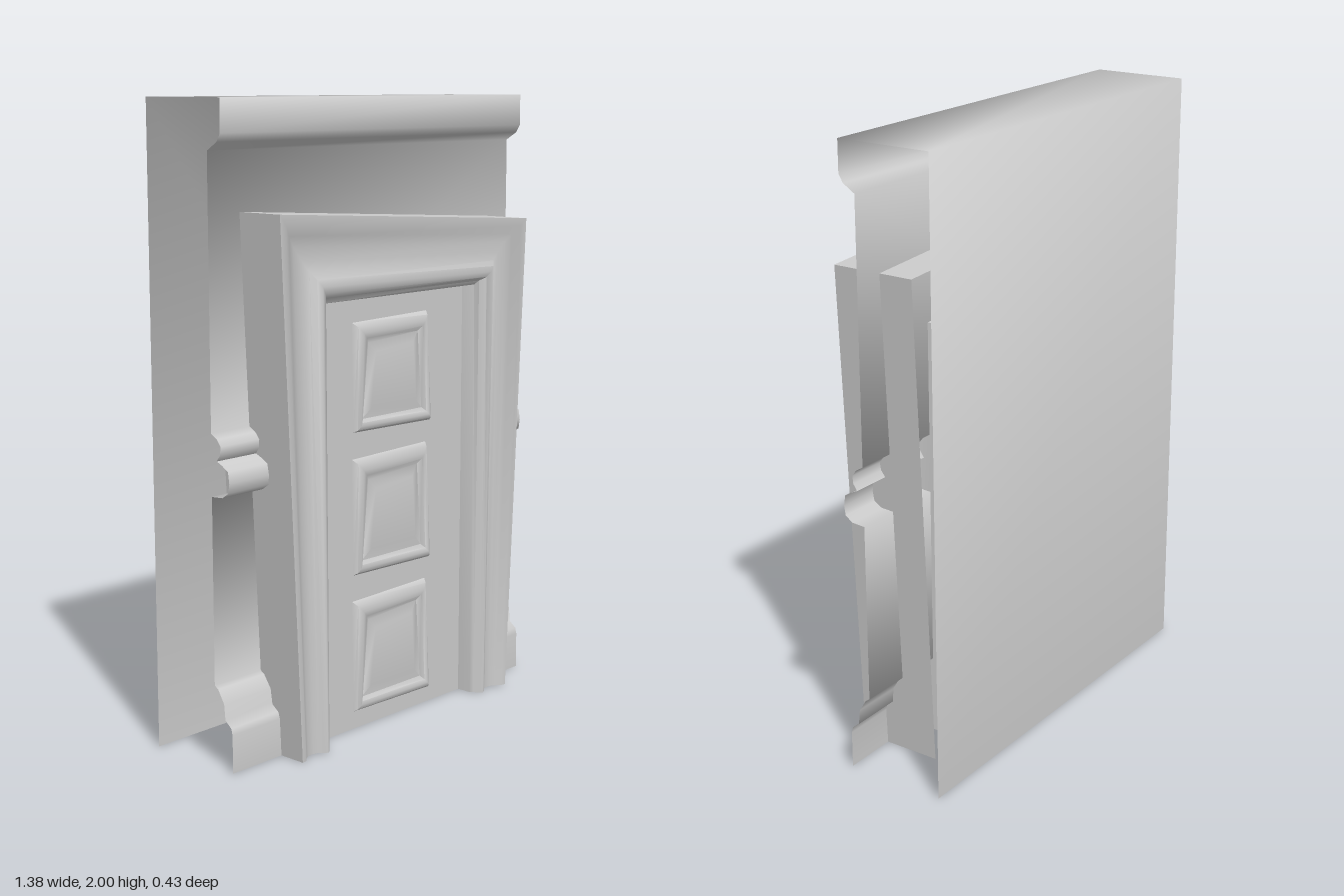
import * as THREE from 'three';
import { toCreasedNormals } from 'three/addons/utils/BufferGeometryUtils.js';

const material = new THREE.MeshStandardMaterial({ color: 0xcccccc, side: THREE.DoubleSide });

// Skin a grid of rows of [x, y, z] points; creases sharper than the angle stay hard.
function sheet(name, rows, crease) {
  const n = rows[0].length;
  const index = [];
  for (let i = 0; i < rows.length - 1; i++) {
    for (let j = 0; j < n - 1; j++) {
      const a = i * n + j, b = a + n;
      index.push(a, a + 1, b, a + 1, b + 1, b);
    }
  }
  const geo = new THREE.BufferGeometry();
  geo.setAttribute('position', new THREE.Float32BufferAttribute(rows.flat(2), 3));
  geo.setIndex(index);
  const mesh = new THREE.Mesh(toCreasedNormals(geo, crease), material);
  mesh.name = name;
  return mesh;
}

const mix = (a, b, t) => a + (b - a) * t;

// Wall section [z, y]: back, top, cornice, chair rail and baseboard, open at the ends
function createWall() {
  const section = [
    [-0.215, 0], [-0.215, 2], [0.1, 2], [0.1, 1.9], [0.085, 1.875], [0.045, 1.85],
    [0.045, 1.03], [0.07, 1.015], [0.085, 0.995], [0.082, 0.97], [0.068, 0.95],
    [0.09, 0.94], [0.115, 0.925], [0.12, 0.89], [0.115, 0.86], [0.09, 0.843], [0.045, 0.84],
    [0.045, 0.26], [0.06, 0.25], [0.085, 0.21], [0.09, 0.16], [0.115, 0.14], [0.12, 0.12], [0.12, 0],
  ];
  return sheet('wall', [-0.69, 0.69].map(x => section.map(([z, y]) => [x, y, z])), 1.65);
}

// Crooked moulded door surround, lofted through its two feet and two corners
function createFrame() {
  const outer = [[-0.485, 0], [-0.565, 1.67], [0.588, 1.597], [0.51, 0]];
  const inner = [[-0.342, 0], [-0.342, 1.392], [0.362, 1.392], [0.362, 0]];
  // [fraction from outer to inner edge, z]
  const profile = [
    [0, -0.07], [0, 0.212], [0.12, 0.21], [0.24, 0.195], [0.36, 0.185], [0.52, 0.185],
    [0.64, 0.19], [0.72, 0.205], [0.8, 0.211], [0.88, 0.205], [0.94, 0.185], [1, 0.175], [1, -0.07],
  ];
  const rows = outer.map(([ox, oy], i) => profile.map(([t, z]) =>
    [mix(ox, inner[i][0], t), mix(oy, inner[i][1], t), z]));
  return sheet('doorFrame', rows, 0.95);
}

// Raised door panel: rings shrinking from the outer outline to the skewed centre field
function createPanel(bottom, top, z) {
  const h = top - bottom;
  // corners counterclockwise, x and height fraction
  const outer = [[-0.165, 0.02], [0.2, 0], [0.18, 1], [-0.17, 0.98]];
  const inner = [[-0.13, 0.13], [0.155, 0.13], [0.135, 0.83], [-0.1, 0.79]];
  const centre = [0.015, 0.47];
  // [fraction outer to inner, height]
  const profile = [[0, 0], [0.2, 0.014], [0.5, 0.02], [0.75, 0.016], [1, 0.004]];
  const ring = (from, to, t, d) => [0, 1, 2, 3, 0].map(k =>
    [mix(from[k][0], to[k][0], t), bottom + h * mix(from[k][1], to[k][1], t), z + d]);
  const middle = [centre, centre, centre, centre];
  const rows = profile.map(([t, d]) => ring(outer, inner, t, d));
  rows.push(ring(inner, middle, 0.25, 0.012), ring(inner, middle, 1, 0.016));
  return sheet('doorPanel', rows, 0.9);
}

export function createModel() {
  const model = new THREE.Group();
  model.name = 'doorway';
  model.add(createWall(), createFrame());

  // Door leaf with three stacked panels
  const door = new THREE.Group();
  door.name = 'door';
  const z = 0.125;
  const leaf = new THREE.Mesh(new THREE.PlaneGeometry(0.704, 1.392), material);
  leaf.name = 'doorLeaf';
  leaf.position.set(0.01, 0.696, z);
  door.add(leaf);
  for (const [bottom, top] of [[0.05, 0.43], [0.5, 0.89], [0.96, 1.32]]) {
    door.add(createPanel(bottom, top, z));
  }
  model.add(door);
  return model;
}
